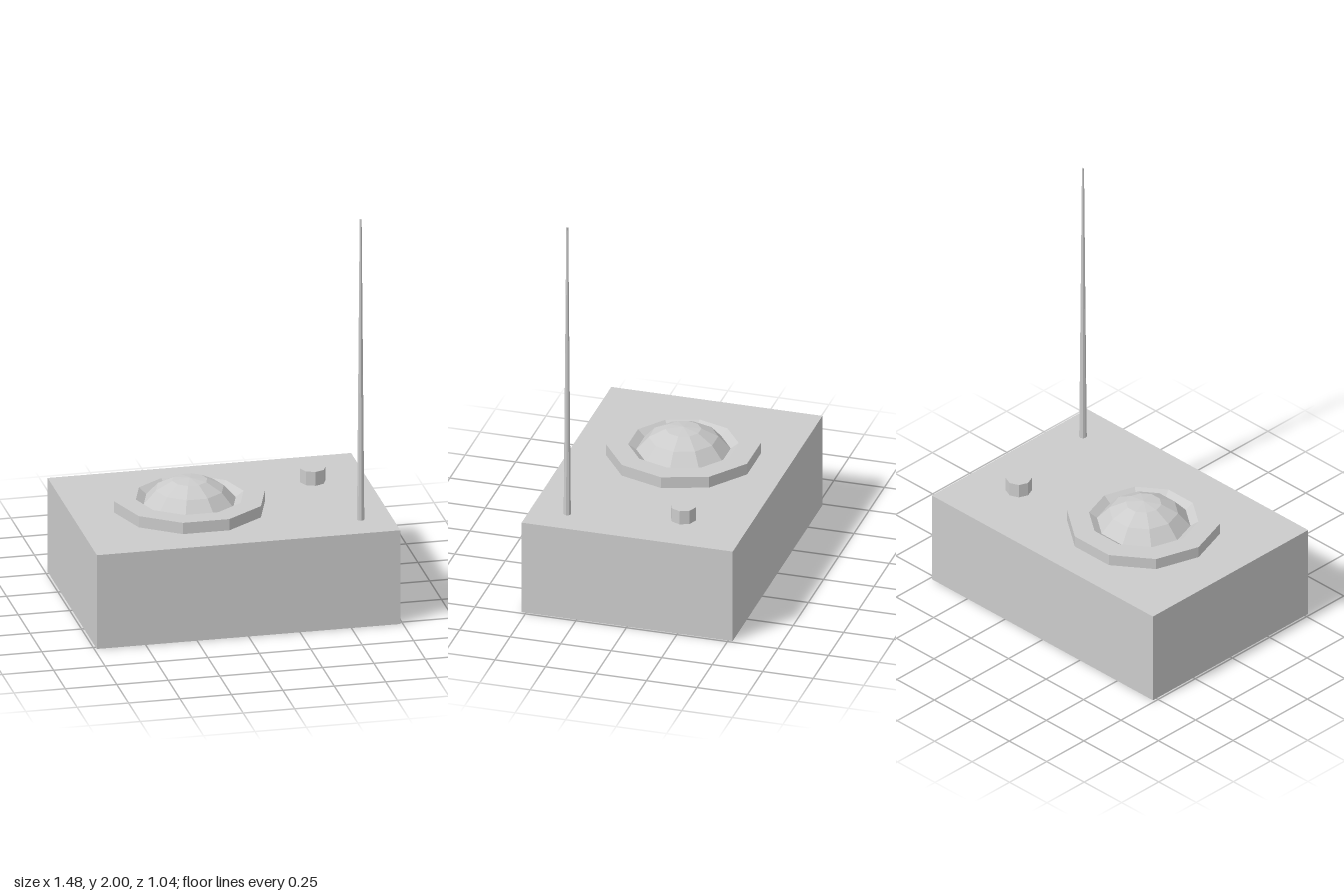
import * as THREE from 'three';

export function createModel() {
  const group = new THREE.Group();
  const material = new THREE.MeshStandardMaterial({ color: 0xcccccc, flatShading: true });
  const top = 0.476; // height of the box lid

  const add = (name, geometry, x, y, z) => {
    const mesh = new THREE.Mesh(geometry, material);
    mesh.name = name;
    mesh.position.set(x, y, z);
    group.add(mesh);
    return mesh;
  };

  // Box housing
  add('housing', new THREE.BoxGeometry(1.475, top, 1.045), 0, top / 2, 0);

  // Ten-sided speaker: raised rim, sloping groove and shallow dome
  const profile = [
    [0.367, 0], [0.367, 0.057], [0.262, 0.057], [0.224, 0.029],
    [0.165, 0.094], [0.085, 0.136], [0, 0.147],
  ].map(([r, y]) => new THREE.Vector2(r, y));
  const speaker = add('speaker', new THREE.LatheGeometry(profile, 10), -0.165, top, -0.007);
  speaker.rotation.y = Math.PI / 2;

  // Control knob
  add('knob', new THREE.CylinderGeometry(0.062, 0.062, 0.07, 8), 0.477, top + 0.035, -0.2);

  // Tapered antenna
  const length = 2 - top;
  add('antenna', new THREE.CylinderGeometry(0.005, 0.018, length, 8), 0.586, top + length / 2, 0.342);

  return group;
}
